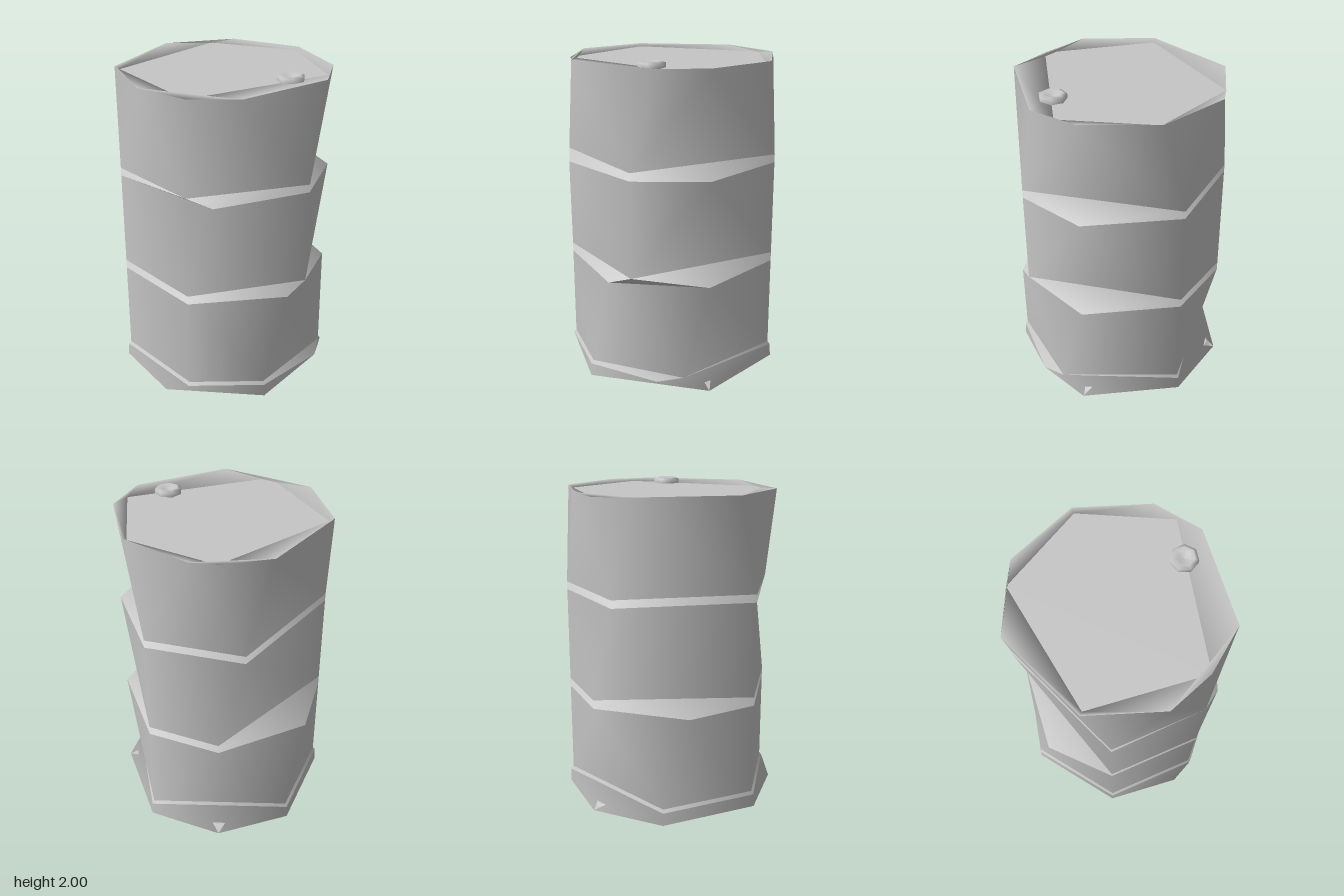
import * as THREE from 'three';

const SIDES = 26;
const steel = new THREE.MeshStandardMaterial({ color: 0xc6c6c6, side: THREE.DoubleSide });
steel.name = 'grey steel';

// A ring keeps only some corners of a 26-sided circle; corner 0 faces the front
const ring = (y, r, corners) => ({ y, r, corners });
const angle = (k) => (k / SIDES) * Math.PI * 2;
const corner = ({ y, r }, k) => [r * Math.sin(angle(k)), y, r * Math.cos(angle(k))];

function makeMesh(name, positions, normals) {
  const g = new THREE.BufferGeometry();
  g.setAttribute('position', new THREE.Float32BufferAttribute(positions, 3));
  g.setAttribute('normal', new THREE.Float32BufferAttribute(normals, 3));
  const mesh = new THREE.Mesh(g, steel);
  mesh.name = name;
  return mesh;
}

// Joins two rings with different corners, choosing the shorter diagonal each time.
// Each lean is [outward, up], the direction of the normals along that ring.
function band(name, low, high, lowLean = [1, 0], highLean = lowLean) {
  const positions = [], normals = [];
  const at = (list, i) => list[i % list.length] + SIDES * Math.floor(i / list.length);
  const add = (rg, k, [out, up]) => {
    positions.push(...corner(rg, k));
    const n = new THREE.Vector3(out * Math.sin(angle(k)), up, out * Math.cos(angle(k))).normalize();
    normals.push(n.x, n.y, n.z);
  };
  const a = low.corners, b = high.corners;
  let i = 0, j = 0;
  while (i < a.length || j < b.length) {
    const stepLow = Math.abs(at(a, i + 1) - at(b, j));
    const stepHigh = Math.abs(at(a, i) - at(b, j + 1));
    const advanceLow = j >= b.length || (i < a.length && stepLow <= stepHigh);
    add(low, at(a, i), lowLean);
    if (advanceLow) add(low, at(a, ++i), lowLean);
    else add(high, at(b, j + 1), highLean);
    add(high, at(b, j), highLean);
    if (!advanceLow) j++;
  }
  return makeMesh(name, positions, normals);
}

// Flat polygon filling a ring, facing up or down
function cap(name, rg, up) {
  const positions = [], normals = [];
  const c = rg.corners;
  for (let i = 1; i < c.length - 1; i++) {
    const tri = up ? [c[0], c[i], c[i + 1]] : [c[0], c[i + 1], c[i]];
    for (const k of tri) {
      positions.push(...corner(rg, k));
      normals.push(0, up ? 1 : -1, 0);
    }
  }
  return makeMesh(name, positions, normals);
}

export function createModel() {
  const model = new THREE.Group();
  model.name = 'dentedBarrel';

  const R = 0.66;
  const bottom = ring(0.03, 0.63, [0, 4, 9, 13, 16, 19, 23]);
  const foot = ring(0, 0.68, [0, 4, 9, 13, 16, 19, 23]);
  const footTop = ring(0.08, 0.675, [1, 4, 7, 13, 19, 23]);
  const lowerStart = ring(0.1, R, [1, 4, 8, 13, 19, 23]);
  const lowerEnd = ring(0.68, R, [1, 5, 9, 13, 16, 20, 23]);
  const middleStart = ring(0.735, R, [1, 6, 13, 16, 23]);
  const middleEnd = ring(1.335, R, [2, 6, 9, 13, 17, 23]);
  const upperStart = ring(1.385, R, [1, 6, 13, 17, 23]);
  const rim = ring(1.98, R, [-1, 3, 7, 9, 12, 15, 18, 22]);
  const lid = ring(1.962, 0.63, [1, 8, 12, 16, 22]);

  // Underside and flared foot
  model.add(cap('bottomPlate', bottom, false));
  model.add(band('bottomLip', bottom, foot, [-0.6, -0.8], [0, -1]));
  model.add(band('footBand', foot, footTop));
  model.add(band('footShelf', footTop, lowerStart, [0.8, 0.6]));

  // Three wall sections with ledges between them
  model.add(band('lowerWall', lowerStart, lowerEnd));
  model.add(band('lowerLedge', lowerEnd, middleStart, [0.7, 0.7]));
  model.add(band('middleWall', middleStart, middleEnd));
  model.add(band('upperLedge', middleEnd, upperStart, [0.7, 0.7]));
  model.add(band('upperWall', upperStart, rim));

  // Recessed lid inside the rim
  model.add(band('rimSlope', rim, lid, [0, 1], [-1, 0.25]));
  model.add(cap('lid', lid, true));

  // Small dished plug near the edge of the lid
  const profile = [[0.083, 1.96], [0.083, 1.99], [0.06, 2], [0.035, 1.985], [0, 1.98]]
    .map(([x, y]) => new THREE.Vector2(x, y));
  const plug = new THREE.Mesh(new THREE.LatheGeometry(profile, 7, Math.PI / 2), steel);
  plug.name = 'plug';
  plug.position.x = 0.46;
  model.add(plug);

  return model;
}
